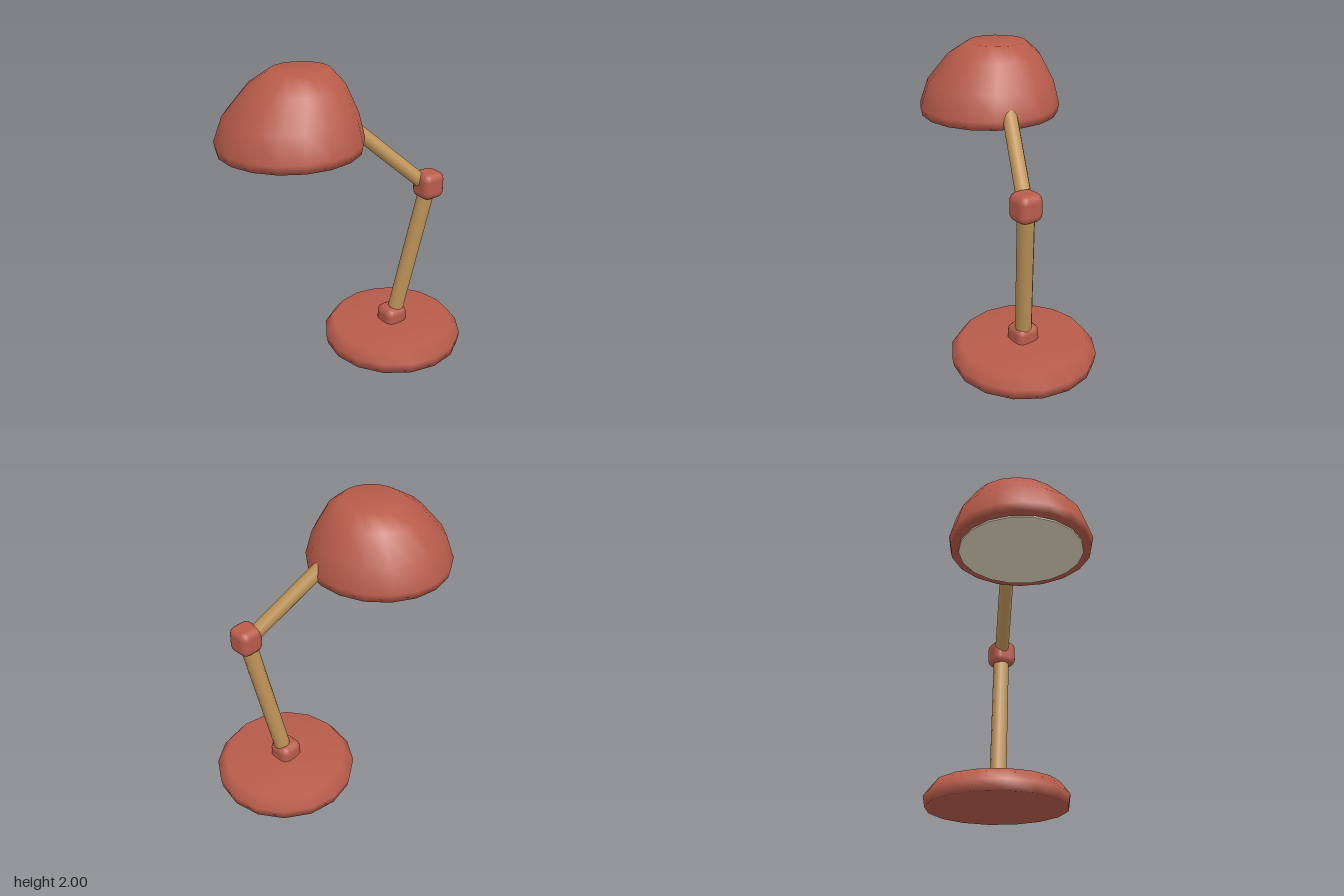
import * as THREE from 'three';
import { RoundedBoxGeometry } from 'three/addons/geometries/RoundedBoxGeometry.js';

const material = (name, color) => {
  const m = new THREE.MeshStandardMaterial({ color });
  m.name = name;
  return m;
};

export function createModel() {
  const red = material('brick red', 0xb85c4b);
  const wood = material('light wood', 0xbf9459);
  const cream = material('cream', 0xe6dcc2);
  const lamp = new THREE.Group();
  lamp.name = 'deskLamp';

  const add = (name, geometry, mat, x = 0, y = 0, z = 0) => {
    const mesh = new THREE.Mesh(geometry, mat);
    mesh.name = name;
    mesh.position.set(x, y, z);
    lamp.add(mesh);
    return mesh;
  };
  const profile = (pts) => pts.map(([r, y]) => new THREE.Vector2(r, y));

  // Round foot with a sloping shoulder
  const foot = new THREE.LatheGeometry(
    profile([[0, 0], [0.47, 0], [0.482, 0.07], [0.42, 0.152], [0, 0.152]]), 16);
  add('base', foot, red, 0.1, 0, -0.33);

  // Rounded joint blocks
  add('baseJoint', new RoundedBoxGeometry(0.17, 0.18, 0.17, 2, 0.05), red, 0.1, 0.165, -0.325);
  add('elbowJoint', new RoundedBoxGeometry(0.168, 0.182, 0.168, 2, 0.05), red, 0.226, 1.187, -0.503);

  // Straight wooden arms between two points
  const arm = (name, from, to, radius) => {
    const a = new THREE.Vector3(...from);
    const b = new THREE.Vector3(...to);
    const dir = b.clone().sub(a);
    const mesh = add(name, new THREE.CylinderGeometry(radius, radius, dir.length(), 12), wood);
    mesh.position.copy(a).lerp(b, 0.5);
    mesh.quaternion.setFromUnitVectors(new THREE.Vector3(0, 1, 0), dir.normalize());
  };
  arm('lowerArm', [0.108, 0.19, -0.338], [0.222, 1.16, -0.5], 0.055);
  arm('upperArm', [0.218, 1.18, -0.49], [0.0, 1.62, -0.03], 0.048);

  // Dome shade, its crown leaning backwards
  const shade = new THREE.LatheGeometry(
    profile([[0, 1.515], [0.458, 1.515], [0.469, 1.57], [0.42, 1.73], [0.302, 1.91], [0.19, 2], [0, 2]]),
    18, Math.PI / 2);
  const p = shade.attributes.position;
  for (let i = 0; i < p.count; i++) {
    const t = Math.max(0, (p.getY(i) - 1.57) / 0.43);
    p.setZ(i, p.getZ(i) - 0.09 * t * t);
  }
  add('shade', shade, red, -0.117, 0, 0.347);

  // Pale diffuser disc closing the shade
  add('diffuser', new THREE.CylinderGeometry(0.405, 0.405, 0.01, 18), cream, -0.117, 1.51, 0.347);

  return lamp;
}
